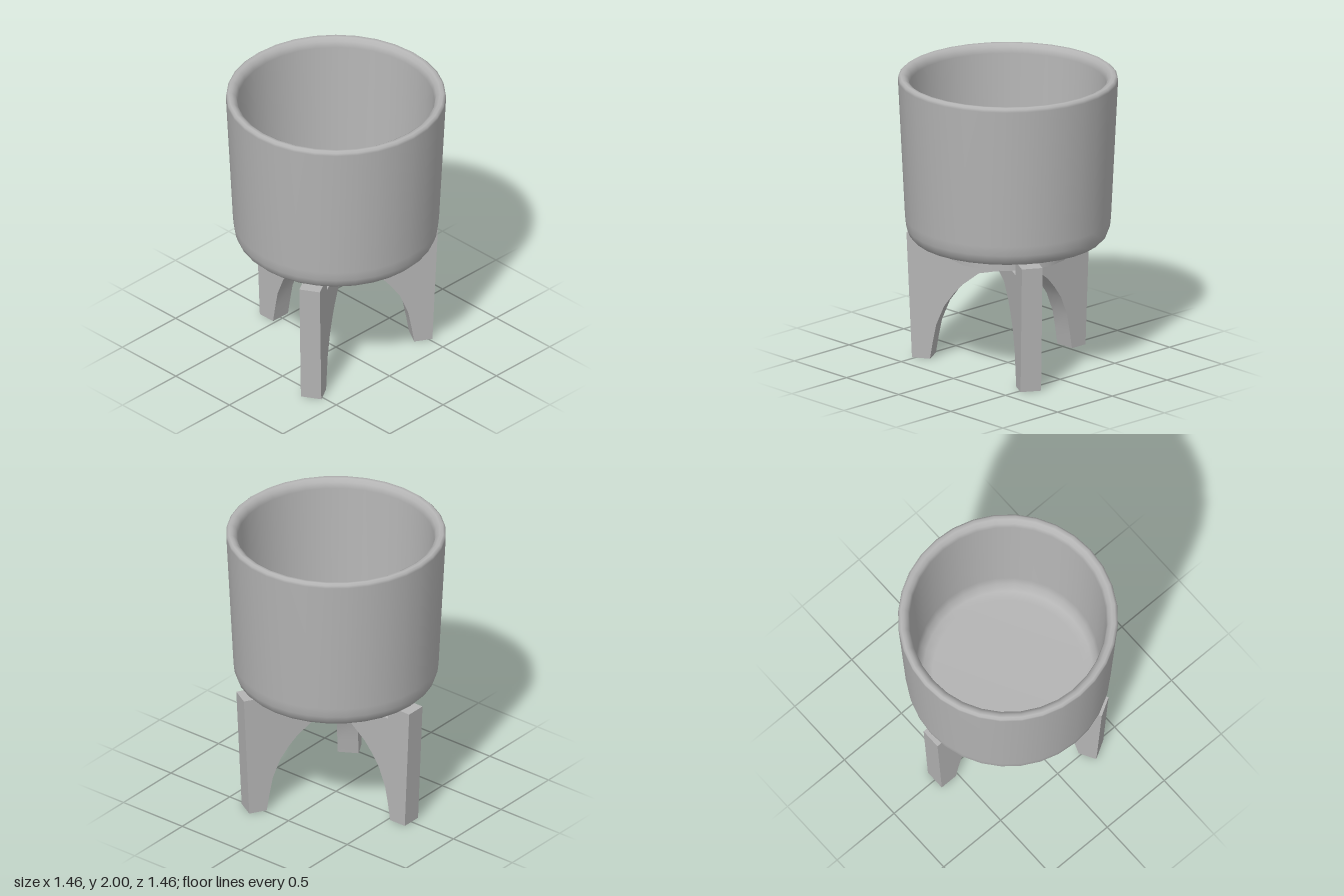
import * as THREE from 'three';
import { toCreasedNormals } from 'three/addons/utils/BufferGeometryUtils.js';

const vec = ([x, y]) => new THREE.Vector2(x, y);

export function createModel() {
  const model = new THREE.Group();
  model.name = 'planterOnStand';
  const clay = new THREE.MeshStandardMaterial({ color: 0xb4b4b4 });
  clay.name = 'matte grey';

  function add(geometry, name, parent = model) {
    const mesh = new THREE.Mesh(geometry, clay);
    mesh.name = name;
    parent.add(mesh);
    return mesh;
  }

  // Hollow pot: outside from base to rim, then down the inner wall to the floor
  const potProfile = [
    [0, 0.87], [0.59, 0.87], [0.63, 0.882], [0.658, 0.91], [0.675, 0.955], [0.682, 1.02],
    [0.729, 1.97], [0.726, 1.988], [0.712, 2], [0.69, 1.998], [0.664, 1.98], [0.652, 1.94],
    [0.61, 1.08], [0.595, 1.01], [0.56, 0.96], [0.5, 0.94], [0, 0.94],
  ].map(vec);
  add(new THREE.LatheGeometry(potProfile, 32), 'pot');

  // Round foot that sits between the legs
  const foot = new THREE.CylinderGeometry(0.41, 0.41, 0.11, 16);
  foot.translate(0, 0.822, 0);
  add(foot, 'potFoot');

  // Leg profile: x is the distance from the centre, with a notch for the pot
  const legShape = new THREE.Shape([
    [0, 0.655], [0.06, 0.65], [0.18, 0.625], [0.3, 0.53], [0.36, 0.46], [0.42, 0.375],
    [0.475, 0.24], [0.5, 0.11], [0.518, 0], [0.642, 0], [0.68, 0.865], [0.5, 0.865],
    [0.5, 0.768], [0, 0.768],
  ].map(vec));
  const width = 0.14;
  const extruded = new THREE.ExtrudeGeometry(legShape, { depth: width, bevelEnabled: false });
  extruded.translate(0, 0, -width / 2);
  const legGeometry = toCreasedNormals(extruded, 0.6);

  // Three legs meeting at the centre
  const stand = new THREE.Group();
  stand.name = 'stand';
  model.add(stand);
  ['rightLeg', 'frontLeg', 'backLeg'].forEach((name, i) => {
    add(legGeometry, name, stand).rotation.y = Math.PI + i * Math.PI * 2 / 3;
  });

  return model;
}
